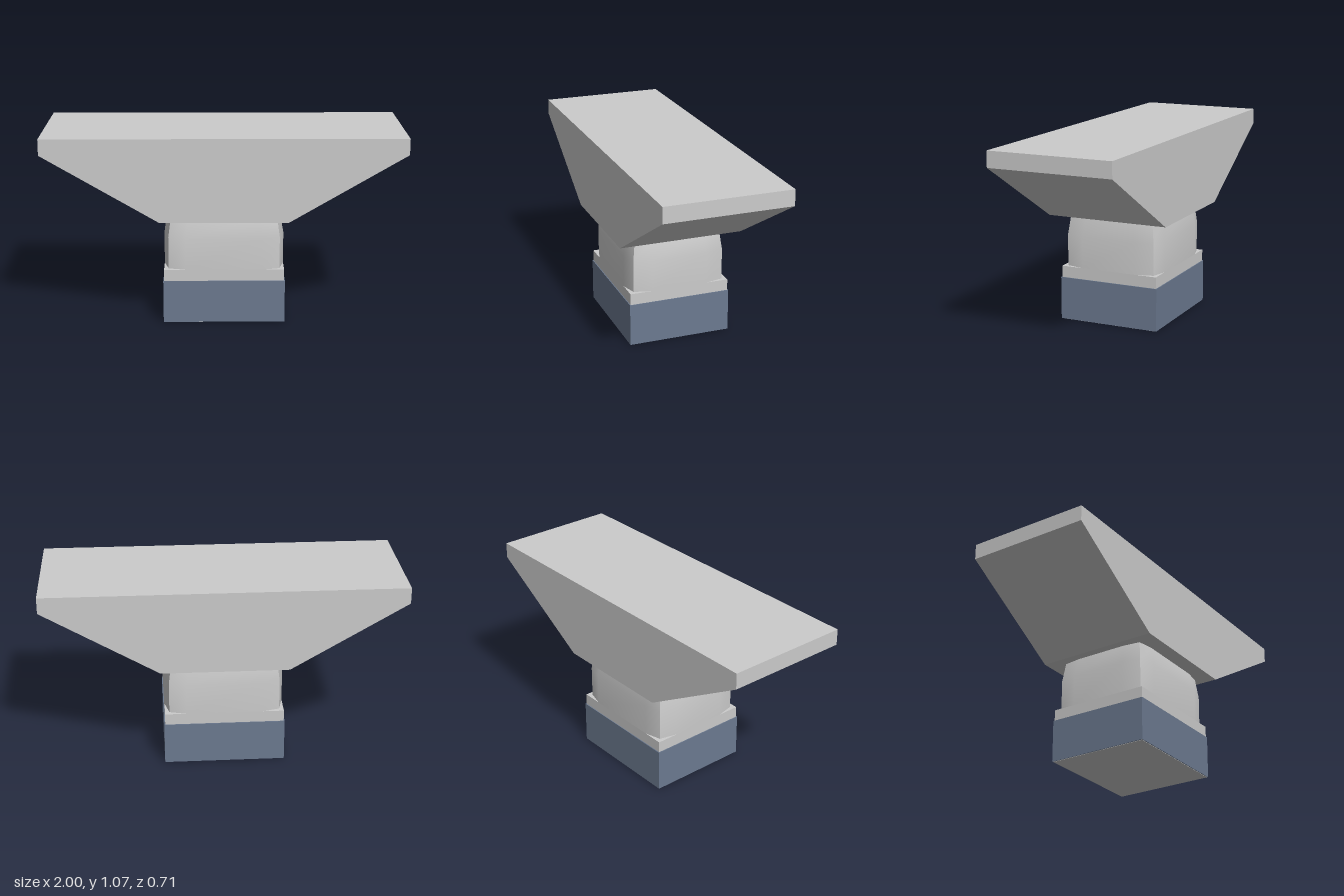
import * as THREE from 'three';

const grey = new THREE.MeshStandardMaterial({ color: 0xcccccc });
const blue = new THREE.MeshStandardMaterial({ color: 0x6c7a90 });

function addMesh(group, name, geometry, material = grey) {
  const mesh = new THREE.Mesh(geometry, material);
  mesh.name = name;
  group.add(mesh);
}

function box(w, d, y0, y1) {
  return new THREE.BoxGeometry(w, y1 - y0, d).translate(0, (y0 + y1) / 2, 0);
}

// One smooth face of the column: rows of four [x, z] points, lowest row first
function columnSide(rows, heights) {
  const positions = [], index = [];
  rows.forEach((row, j) => row.forEach(([x, z]) => positions.push(x, heights[j], z)));
  for (let j = 0; j < rows.length - 1; j++) {
    for (let i = 0; i < 3; i++) {
      const a = j * 4 + i, b = a + 1, c = a + 4, d = a + 5;
      index.push(a, b, d, a, d, c);
    }
  }
  const g = new THREE.BufferGeometry();
  g.setAttribute('position', new THREE.Float32BufferAttribute(positions, 3));
  g.setIndex(index);
  g.computeVertexNormals();
  return g;
}

export function createModel() {
  const group = new THREE.Group();
  group.name = 'pierHead';

  // Painted foot wrapped around the column's square plinth
  addMesh(group, 'plinth', box(0.67, 0.58, 0, 0.31));
  addMesh(group, 'paintedBase', box(0.68, 0.59, 0.002, 0.245), blue);

  // Column with swept-back corners, tapering under the cap
  const heights = [0.31, 0.49, 0.602];
  const face = (cx, cz, mx, mz) => [[-cx, cz], [-mx, mz], [mx, mz], [cx, cz]];
  const wide = [face(0.31, 0.264, 0.215, 0.29), face(0.31, 0.264, 0.215, 0.29), face(0.295, 0.25, 0.2, 0.266)];
  const narrow = [face(0.264, 0.31, 0.16, 0.335), face(0.264, 0.31, 0.16, 0.335), face(0.25, 0.295, 0.15, 0.308)];
  ['Front', 'Left', 'Back', 'Right'].forEach((side, i) => {
    const g = columnSide(i % 2 ? narrow : wide, heights);
    addMesh(group, 'column' + side, g.rotateY(i * Math.PI / 2));
  });

  // Hammerhead cap
  const outline = [[-1, 1.07], [-1, 0.98], [-0.355, 0.602], [0.355, 0.602], [1, 0.98], [1, 1.07]];
  const shape = new THREE.Shape(outline.map(([x, y]) => new THREE.Vector2(x, y)));
  const cap = new THREE.ExtrudeGeometry(shape, { depth: 0.71, bevelEnabled: false });
  addMesh(group, 'cap', cap.translate(0, 0, -0.355));

  return group;
}
